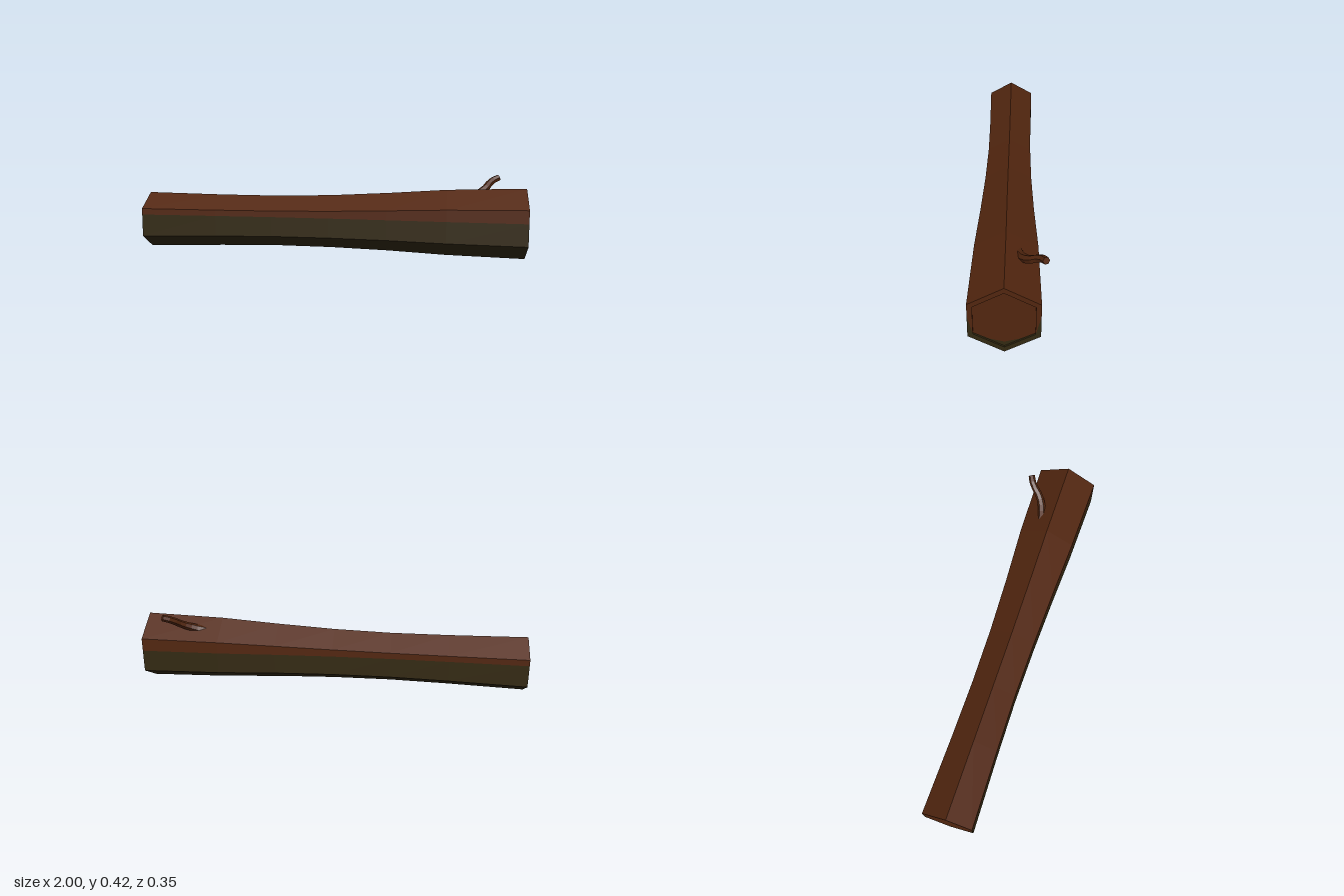
import * as THREE from 'three';
import { mergeGeometries } from 'three/addons/utils/BufferGeometryUtils.js';

const C = Math.cos(Math.PI / 6);
const MOSS_Y = 0.205;

// Trunk stations: x, radius, centre y, centre z
const STATIONS = [
  [-1, 0.148, 0.163, 0.011], [-0.6, 0.138, 0.167, 0.012], [-0.3, 0.134, 0.170, 0.013],
  [0, 0.139, 0.173, 0.015], [0.3, 0.152, 0.177, 0.016], [0.6, 0.170, 0.180, 0.016],
  [1, 0.181, 0.1815, 0.018],
];

// Flat-shaded band of quads between two point rows
function band(a, b) {
  const pos = [];
  for (let i = 0; i < a.length - 1; i++) {
    for (const p of [a[i], b[i], b[i + 1], a[i], b[i + 1], a[i + 1]]) pos.push(p.x, p.y, p.z);
  }
  return fromPositions(pos);
}

// Convex polygon as a fan
function fan(points) {
  const pos = [];
  for (let i = 1; i < points.length - 1; i++) {
    for (const p of [points[0], points[i], points[i + 1]]) pos.push(p.x, p.y, p.z);
  }
  return fromPositions(pos);
}

function fromPositions(pos) {
  const g = new THREE.BufferGeometry();
  g.setAttribute('position', new THREE.Float32BufferAttribute(pos, 3));
  g.computeVertexNormals();
  return g;
}

// Hexagonal section divided into bark (upper) and moss (lower) rows
function section([x, r, cy, cz], mossY = MOSS_Y) {
  const at = (u, v) => new THREE.Vector3(x, cy + v * r, cz + u * r);
  const m = (mossY - cy) / r;
  return {
    bark: [at(C, m), at(C, 0.5), at(0, 1), at(-C, 0.5), at(-C, m)],
    moss: [at(-C, m), at(-C, -0.5), at(0, -1), at(C, -0.5), at(C, m)],
  };
}

// End cap: rim, heartwood face and the moss creeping over its lower edge
function endCap(station, side, recess) {
  const [x, r, cy, cz] = station;
  const ir = r * 0.85;
  const outer = section(station);
  const inner = section([x, ir, cy, cz], cy - ir * 0.5);
  const deepX = x - side * recess;
  const at = (u, v) => new THREE.Vector3(deepX, cy + v * ir, cz + u * ir);
  const edge = [at(-C, -0.5), at(-0.4, -0.73), at(0, -0.84), at(0.4, -0.73), at(C, -0.5)];
  const low = [at(-C, -0.5), at(-C / 2, -0.75), at(0, -1), at(C / 2, -0.75), at(C, -0.5)];
  const top = [at(C, -0.5), at(C, 0.5), at(0, 1), at(-C, 0.5), at(-C, -0.5)];
  const facing = (a, b) => (side > 0 ? band(a, b) : band(b, a));
  const face = [...top, ...edge.slice(1, 4)];
  if (side > 0) face.reverse();
  const bark = [facing(outer.bark, inner.bark), fan(face)];
  const moss = [facing(outer.moss, inner.moss), facing(low, edge)];
  if (recess > 0) {
    bark.push(facing(inner.bark, top));
    moss.push(facing(inner.moss.slice(1, 4), [low[0], low[2], low[4]]));
  }
  return { bark, moss };
}

// Tapering six-sided twig swept along a curve, with closed ends
function twigGeometry() {
  const curve = new THREE.CatmullRomCurve3([
    new THREE.Vector3(0.66, 0.29, -0.035), new THREE.Vector3(0.74, 0.315, -0.055),
    new THREE.Vector3(0.795, 0.345, -0.088), new THREE.Vector3(0.832, 0.383, -0.135),
    new THREE.Vector3(0.87, 0.401, -0.157),
  ]);
  const n = 8;
  const frames = curve.computeFrenetFrames(n, false);
  const rings = [];
  for (let i = 0; i <= n; i++) {
    const centre = curve.getPointAt(i / n);
    const r = 0.023 - 0.006 * (i / n);
    const ring = [];
    for (let k = 0; k <= 6; k++) {
      const a = (k / 6) * Math.PI * 2;
      ring.push(centre.clone()
        .addScaledVector(frames.normals[i], Math.cos(a) * r)
        .addScaledVector(frames.binormals[i], Math.sin(a) * r));
    }
    rings.push(ring);
  }
  const parts = [];
  for (let i = 0; i < n; i++) parts.push(band(rings[i + 1], rings[i]));
  parts.push(fan(rings[n].slice(0, 6)), fan(rings[0].slice(0, 6).reverse()));
  return mergeGeometries(parts);
}

export function createModel() {
  const barkMat = new THREE.MeshStandardMaterial({ color: 0x52260f });
  barkMat.name = 'brown bark';
  const mossMat = new THREE.MeshStandardMaterial({ color: 0x332912 });
  mossMat.name = 'dark moss';

  const group = new THREE.Group();
  group.name = 'log';
  const add = (name, geometry, material) => {
    const mesh = new THREE.Mesh(geometry, material);
    mesh.name = name;
    group.add(mesh);
  };

  // Trunk sides
  const sections = STATIONS.map((s) => section(s));
  const sides = (row) => mergeGeometries(
    sections.slice(1).map((s, i) => band(sections[i][row], s[row])));
  add('trunkBark', sides('bark'), barkMat);
  add('trunkMoss', sides('moss'), mossMat);

  // Sawn ends
  const ends = [
    ['thickEnd', STATIONS[STATIONS.length - 1], 1, 0.008],
    ['thinEnd', STATIONS[0], -1, 0],
  ];
  for (const [name, station, side, recess] of ends) {
    const cap = endCap(station, side, recess);
    add(name + 'Wood', mergeGeometries(cap.bark), barkMat);
    add(name + 'Moss', mergeGeometries(cap.moss), mossMat);
  }

  // Twig growing from the back of the thick end
  add('twig', twigGeometry(), barkMat);
  return group;
}
